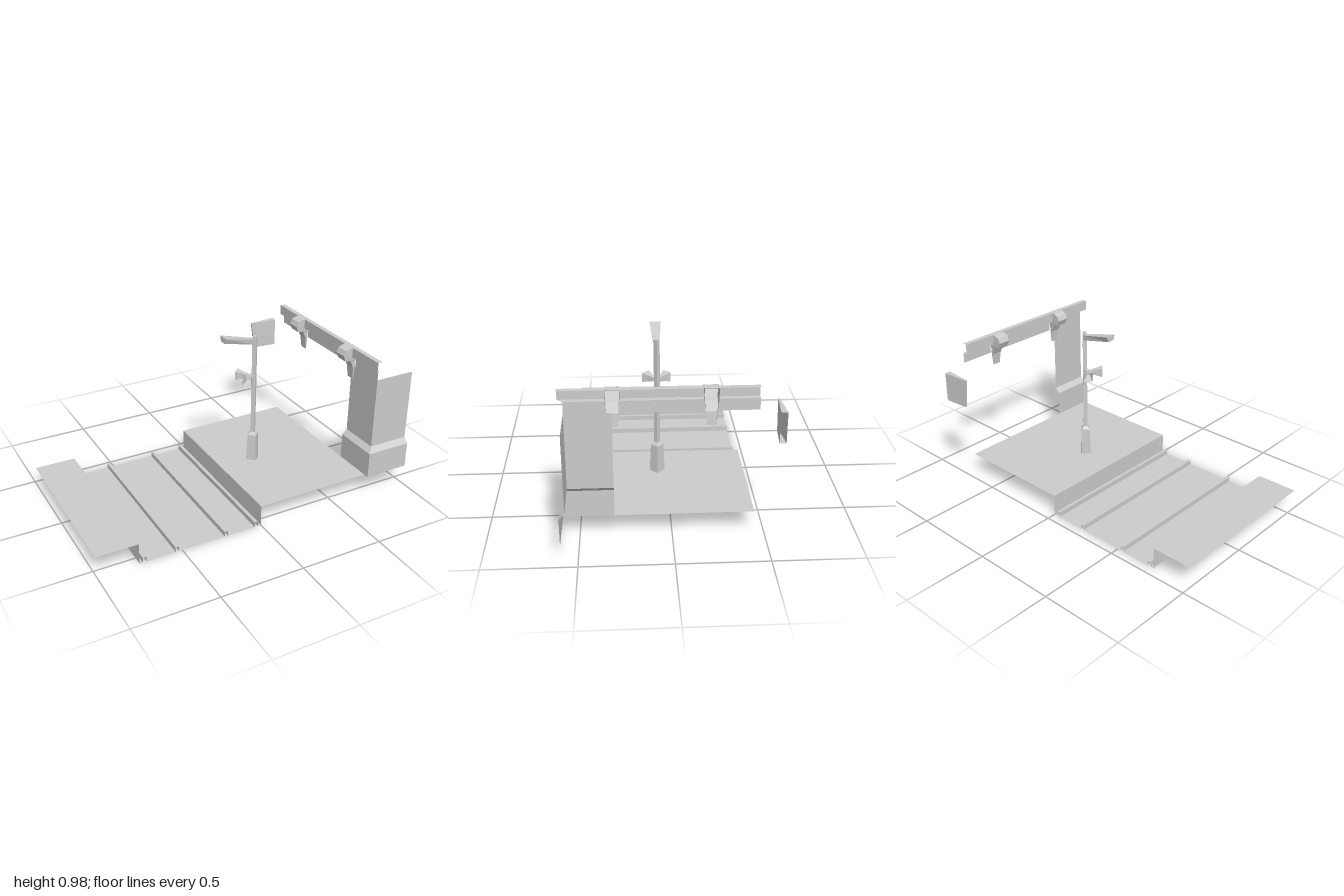
import * as THREE from 'three';

const concrete = new THREE.MeshStandardMaterial({ color: 0xcccccc, side: THREE.DoubleSide, flatShading: true });
concrete.name = 'concrete grey';

function add(parent, name, geometry) {
  const mesh = new THREE.Mesh(geometry, concrete);
  mesh.name = name;
  parent.add(mesh);
  return mesh;
}

// Joins neighbouring rows of points with flat quads.
function skin(rows) {
  const v = [];
  for (let i = 0; i < rows.length - 1; i++) {
    for (let j = 0; j < rows[i].length - 1; j++) {
      const a = rows[i][j], b = rows[i][j + 1], c = rows[i + 1][j + 1], d = rows[i + 1][j];
      v.push(...a, ...b, ...c, ...a, ...c, ...d);
    }
  }
  const g = new THREE.BufferGeometry();
  g.setAttribute('position', new THREE.Float32BufferAttribute(v, 3));
  g.computeVertexNormals();
  return g;
}

// Sweeps an [x, y] profile straight from z0 back to z1.
const sweep = (profile, z0, z1) => skin([z0, z1].map(z => profile.map(([x, y]) => [x, y, z])));

// Rectangular ring across x, with separate half widths for top and bottom.
const ring = (x0, x1, top, bottom, z, hwTop, hwBottom) => [
  [x0, top, z - hwTop], [x0, top, z + hwTop],
  [x1, bottom, z + hwBottom], [x1, bottom, z - hwBottom], [x0, top, z - hwTop]];

// All points of a ring collapsed to its middle, used as an end cap.
const capOf = (r) => {
  const m = [0, 1, 2].map(k => (r[0][k] + r[1][k] + r[2][k] + r[3][k]) / 4);
  return r.map(() => m);
};

function createGround() {
  // Two platforms with the sunken track bed and four rails between them
  const profile = [[-1, 0.128], [-0.755, 0.128], [-0.755, 0]];
  for (const x of [-0.735, -0.54, -0.235, -0.04]) {
    profile.push([x, 0], [x, 0.03], [x + 0.02, 0.03], [x + 0.02, 0]);
  }
  profile.push([0, 0], [0, 0.128], [0.72, 0.128]);
  return sweep(profile, 0.555, -0.445);
}

function createBuilding() {
  const g = new THREE.Group();
  g.name = 'buildingCorner';

  // Corner wall with a wider plinth and sloped ledge
  const layer = (x, y, z) => [[x, y, 0.31], [x, y, z], [1, y, z]];
  add(g, 'cornerWall', skin([
    layer(0.72, 0.128, 0.585), layer(0.72, 0.285, 0.585),
    layer(0.75, 0.315, 0.555), layer(0.75, 0.75, 0.555)]));

  // Stepped cornice, interrupted at each bracket
  const profile = [[0.75, 0.75], [0.75, 0.815], [0.72, 0.815], [0.72, 0.875], [0.75, 0.875]];
  const brackets = [0.307, -0.197], half = 0.038;
  add(g, 'corniceFront', skin([
    profile.map(([x, y], i) => [x, y, i < 2 ? 0.555 : 0.585]),
    profile.map(([x, y]) => [x, y, brackets[0] + half])]));
  add(g, 'corniceMiddle', sweep(profile, brackets[0] - half, brackets[1] + half));
  add(g, 'corniceBack', sweep(profile, brackets[1] - half, -0.445));

  // Scrolled brackets: x, y, half width from top to bottom
  const scroll = [
    [0.75, 0.875, 0.038], [0.705, 0.875, 0.038], [0.675, 0.863, 0.038], [0.661, 0.833, 0.038],
    [0.676, 0.797, 0.036], [0.715, 0.79, 0.034], [0.738, 0.74, 0.031], [0.745, 0.667, 0.023]];
  for (const z of brackets) {
    add(g, 'bracket', skin(scroll.map(([x, y, w]) =>
      [[0.75, y, z + w], [x, y, z + w], [x, y, z - w], [0.75, y, z - w]])));
  }
  return g;
}

function createSign() {
  // Hanging board that thins towards its free edge
  const tip = ring(0.575, 0.6, 0.73, 0.553, -0.572, 0.005, 0.006);
  const root = ring(0.75, 0.75, 0.73, 0.553, -0.572, 0.018, 0.018);
  return skin([capOf(tip), tip, root]);
}

function createLampPost() {
  const g = new THREE.Group();
  g.name = 'lampPost';
  const X = 0.228, Z = 0.06;

  // Four-sided base, shoulder and pole stacked upwards
  const stage = (name, rBottom, rTop, y0, y1, open) => {
    const m = add(g, name, new THREE.CylinderGeometry(rTop, rBottom, y1 - y0, 4, 1, open));
    m.position.set(X, (y0 + y1) / 2, Z);
  };
  stage('postBase', 0.044, 0.036, 0.128, 0.297, true);
  stage('postShoulder', 0.036, 0.017, 0.297, 0.315, true);
  stage('pole', 0.017, 0.017, 0.315, 0.943, false);

  // Sloping lamp head, wider at its outer end
  const outer = ring(0.018, 0.016, 0.975, 0.943, Z, 0.033, 0.021);
  const inner = ring(0.225, 0.225, 0.925, 0.893, Z, 0.016, 0.012);
  add(g, 'lampHead', skin([capOf(outer), outer, inner]));

  // Pair of loudspeaker horns on a short mount
  const mount = add(g, 'speakerMount', new THREE.BoxGeometry(0.055, 0.018, 0.026));
  mount.position.set(0.195, 0.693, Z);
  for (const side of [1, -1]) {
    const rect = (x, z, w, h) => {
      // Ring set across the horn's diagonal axis
      const dx = 0.72 * w, dz = 0.69 * w * side;
      return [[x - dx, 0.691 + h, Z + z * side - dz], [x + dx, 0.691 + h, Z + z * side + dz],
        [x + dx, 0.691 - h, Z + z * side + dz], [x - dx, 0.691 - h, Z + z * side - dz],
        [x - dx, 0.691 + h, Z + z * side - dz]];
    };
    const throat = rect(0.188, 0.012, 0.012, 0.012);
    const rows = [capOf(throat), throat, rect(0.165, 0.038, 0.017, 0.019), rect(0.143, 0.063, 0.027, 0.028)];
    add(g, side > 0 ? 'leftSpeaker' : 'rightSpeaker',
      skin(side > 0 ? rows : rows.map(r => r.slice().reverse())));
  }
  return g;
}

export function createModel() {
  const model = new THREE.Group();
  model.name = 'stationPlatform';
  add(model, 'platformsAndTracks', createGround());
  model.add(createBuilding());
  add(model, 'hangingSign', createSign());
  model.add(createLampPost());
  return model;
}
